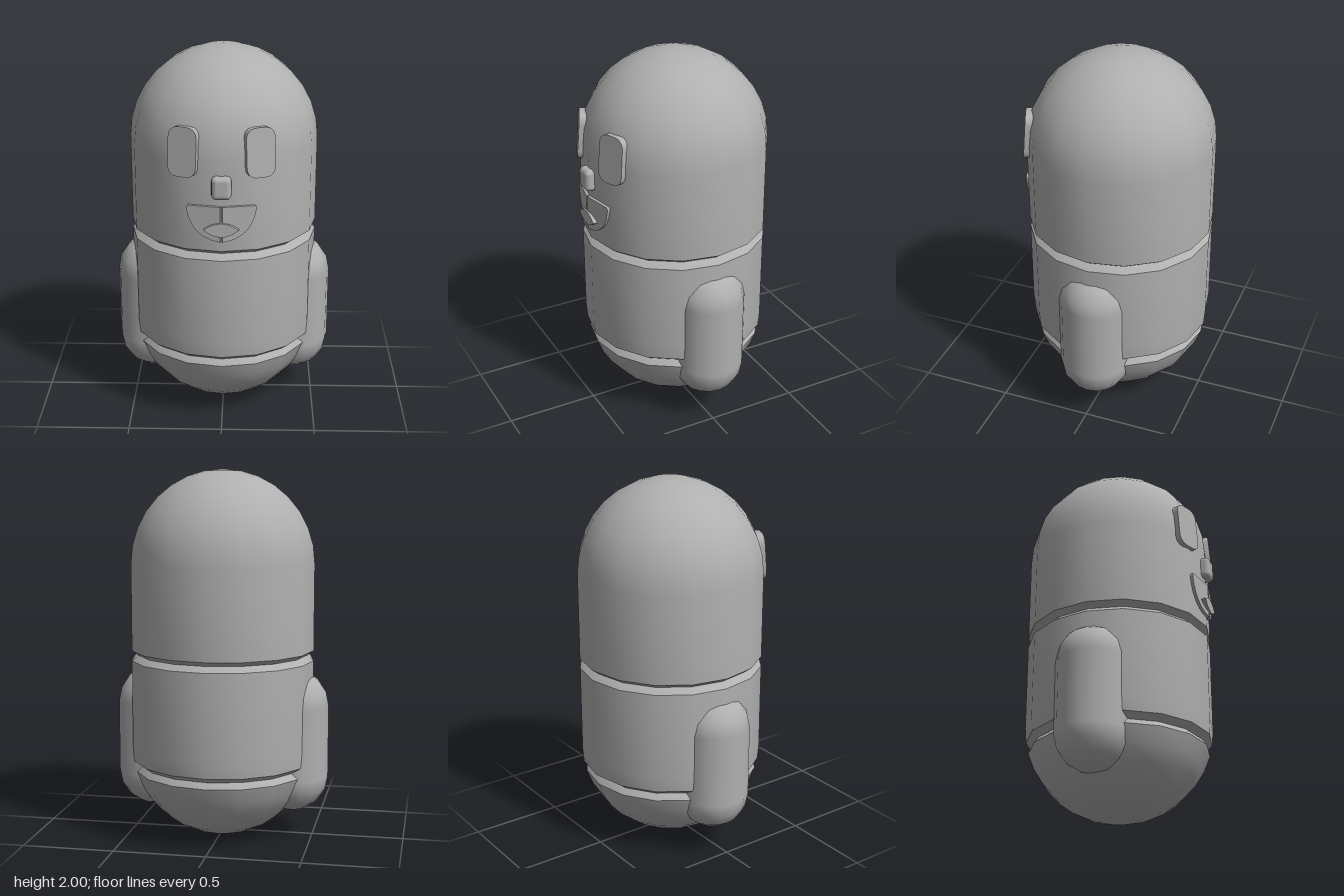
import * as THREE from 'three';
import { toCreasedNormals } from 'three/addons/utils/BufferGeometryUtils.js';
import { RoundedBoxGeometry } from 'three/addons/geometries/RoundedBoxGeometry.js';

const CENTRE_Z = -0.02;
const RADIUS = 0.5;

export function createModel() {
  const model = new THREE.Group();
  const grey = new THREE.MeshStandardMaterial({ color: 0xb0b0b0 });
  grey.name = 'plainGrey';

  const add = (name, geometry, x = 0, y = 0, z = 0) => {
    const mesh = new THREE.Mesh(geometry, grey);
    mesh.name = name;
    mesh.position.set(x, y, z);
    model.add(mesh);
    return mesh;
  };
  const extrude = (shape, depth) => new THREE.ExtrudeGeometry(shape, { depth, bevelEnabled: false, curveSegments: 6 });

  // Body: 16-sided capsule with a V groove at the neck and one at the waist
  const profile = [];
  const arc = (centreY, from, to, steps) => {
    for (let i = 0; i <= steps; i++) {
      const a = from + (to - from) * i / steps;
      profile.push(new THREE.Vector2(Math.max(0, RADIUS * Math.cos(a)), centreY + RADIUS * Math.sin(a)));
    }
  };
  const groove = (y, r) => profile.push(new THREE.Vector2(r, y));
  arc(0.5, -Math.PI / 2, Math.asin(-0.28), 7);
  groove(0.392, 0.455);
  arc(0.5, Math.asin(-0.16), 0, 1);
  groove(0.975, RADIUS);
  groove(1.005, 0.465);
  groove(1.03, RADIUS);
  arc(1.5, 0, Math.PI / 2, 8);
  add('body', toCreasedNormals(new THREE.LatheGeometry(profile, 16), 0.5), 0, 0, CENTRE_Z);

  // Eye plate outline
  const w = 0.078, h = 0.128, r = 0.06;
  const eye = new THREE.Shape();
  eye.moveTo(-w + r, -h);
  eye.lineTo(w - r, -h);
  eye.quadraticCurveTo(w, -h, w, -h + r);
  eye.lineTo(w, h - r);
  eye.quadraticCurveTo(w, h, w - r, h);
  eye.lineTo(-w + r, h);
  eye.quadraticCurveTo(-w, h, -w, h - r);
  eye.lineTo(-w, -h + r);
  eye.quadraticCurveTo(-w, -h, -w + r, -h);

  for (const [side, s] of [['left', 1], ['right', -1]]) {
    // Arms sunk into the sides
    add(side + 'Arm', new THREE.CapsuleGeometry(0.195, 0.39, 4, 16), s * 0.39, 0.535, CENTRE_Z);

    // Eyes turned to follow the head
    const eyeGeometry = extrude(eye, 0.045).translate(0, 0, -0.0225);
    const eyeMesh = add(side + 'Eye', toCreasedNormals(eyeGeometry, 0.6), s * 0.19, 1.547, 0.426);
    eyeMesh.rotation.set(-0.08, s * 0.39, 0, 'YXZ');

    // Half of the smiling mouth, angled along the body facet
    const half = new THREE.Shape();
    half.moveTo(0, 0.275);
    half.lineTo(s * 0.165, 0.275);
    half.quadraticCurveTo(s * 0.178, 0.275, s * 0.176, 0.255);
    half.quadraticCurveTo(s * 0.15, 0.1, 0, 0.085);
    half.closePath();
    const mouth = add(side + 'MouthHalf', toCreasedNormals(extrude(half, 0.03), 0.5), 0, 1, 0.466);
    mouth.rotation.y = s * 0.197;
  }

  // Tongue
  const tongue = new THREE.Shape();
  tongue.moveTo(-0.09, 0.155);
  tongue.quadraticCurveTo(0, 0.075, 0.09, 0.155);
  tongue.quadraticCurveTo(0, 0.225, -0.09, 0.155);
  add('tongue', toCreasedNormals(extrude(tongue, 0.025), 0.5), 0, 1, 0.478);

  // Nose
  add('nose', new RoundedBoxGeometry(0.1, 0.12, 0.08, 2, 0.025), 0, 1.375, 0.477);

  return model;
}
